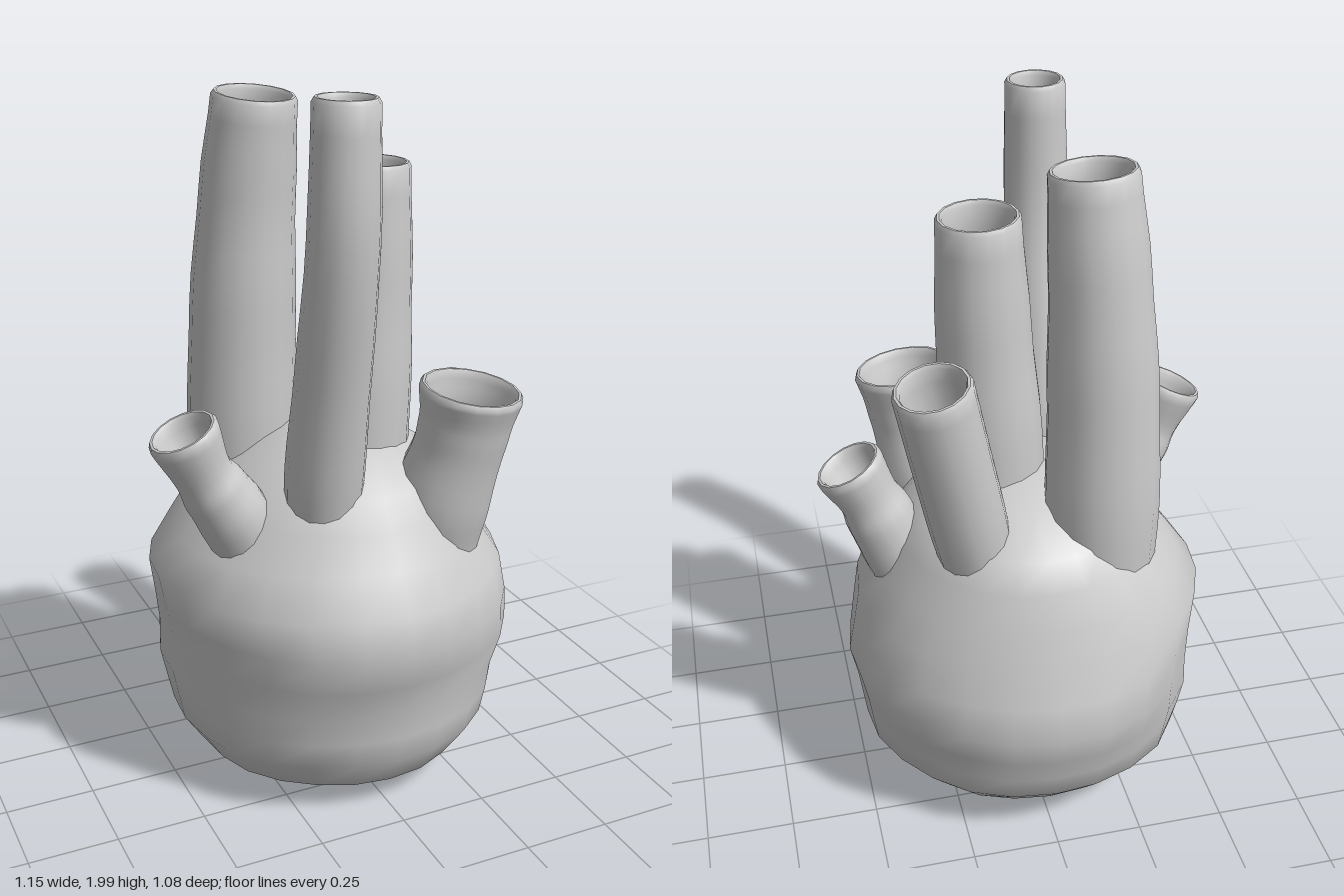
import * as THREE from 'three';
import { mergeVertices, toCreasedNormals } from 'three/addons/utils/BufferGeometryUtils.js';

const material = new THREE.MeshStandardMaterial({ color: 0xcccccc });

// Skin a list of closed rings (each an array of Vector3, listed bottom to top)
function loft(rings) {
  const n = rings[0].length;
  const index = [];
  for (let i = 0; i < rings.length - 1; i++) {
    for (let j = 0; j < n; j++) {
      const a = i * n + j, b = i * n + (j + 1) % n;
      index.push(a, a + n, b, b, a + n, b + n);
    }
  }
  const geometry = new THREE.BufferGeometry().setFromPoints(rings.flat());
  geometry.setIndex(index);
  return mergeVertices(geometry, 1e-4);
}

// Lumpy body: each section is [y, right, left, front, back] half-widths
function makeBody() {
  const sections = [
    [0.025, 0, 0, 0, 0],
    [0.01, 0.18, 0.18, 0.2, 0.17],
    [0.03, 0.31, 0.31, 0.32, 0.30],
    [0.09, 0.40, 0.40, 0.41, 0.39],
    [0.18, 0.48, 0.46, 0.46, 0.47],
    [0.26, 0.49, 0.475, 0.475, 0.49],
    [0.34, 0.50, 0.49, 0.475, 0.51],
    [0.44, 0.52, 0.485, 0.51, 0.54],
    [0.54, 0.50, 0.50, 0.54, 0.51],
    [0.65, 0.48, 0.52, 0.52, 0.47],
    [0.75, 0.42, 0.45, 0.45, 0.44],
    [0.85, 0.37, 0.38, 0.40, 0.40],
    [0.93, 0.31, 0.29, 0.35, 0.36],
    [1.0, 0.21, 0.19, 0.2, 0.22],
    [1.03, 0.1, 0.1, 0.1, 0.1],
    [1.04, 0, 0, 0, 0],
  ];
  const sides = 24;
  const rings = sections.map(([y, right, left, front, back]) => {
    const ring = [];
    for (let j = 0; j < sides; j++) {
      const t = (j / sides) * Math.PI * 2, c = Math.cos(t), s = Math.sin(t);
      // gentle irregularity, fuller at the back left corner
      const corner = Math.max(0, Math.cos(t - Math.PI * 1.25)) ** 6;
      const k = 1 + 0.05 * corner + 0.012 * Math.sin(5 * t + 9 * y) * Math.abs(Math.sin(2 * t));
      ring.push(new THREE.Vector3(c * k * (c > 0 ? right : left), y, s * k * (s > 0 ? front : back)));
    }
    return ring;
  });
  const geometry = loft(rings);
  geometry.computeVertexNormals();
  return geometry;
}

// Open hollow vessel: stations are [x, y, z, radius] from root to mouth
function makeVessel(stations, sides = 16) {
  const curve = new THREE.CatmullRomCurve3(stations.map(([x, y, z]) => new THREE.Vector3(x, y, z)));
  const up = new THREE.Vector3(0, 1, 0);
  const last = stations.length - 1;
  const ringAt = (t, inset, drop = 0) => {
    const i = Math.min(Math.floor(t * last), last - 1);
    const f = THREE.MathUtils.smoothstep(t * last - i, 0, 1);
    const r = THREE.MathUtils.lerp(stations[i][3], stations[i + 1][3], f) - inset;
    const tangent = curve.getTangent(t);
    const turn = new THREE.Quaternion().setFromUnitVectors(up, tangent);
    const centre = curve.getPoint(t).addScaledVector(tangent, -drop);
    return Array.from({ length: sides }, (_, j) => {
      const a = (j / sides) * Math.PI * 2;
      return new THREE.Vector3(Math.cos(a) * r, 0, Math.sin(a) * r).applyQuaternion(turn).add(centre);
    });
  };
  const steps = last * 4;
  const rings = [];
  // outer wall, rounded rim, then the inner wall back down
  for (let i = 0; i < steps; i++) rings.push(ringAt(i / steps, 0));
  rings.push(ringAt(1, 0, 0.012), ringAt(1, 0.007), ringAt(1, 0.014), ringAt(1, 0.02, 0.012));
  for (let i = steps - 1; i >= 0; i--) rings.push(ringAt(i / steps, 0.02));
  return toCreasedNormals(loft(rings), 0.9);
}

const vessels = {
  backLeftVessel: [
    [-0.19, 0.68, -0.19, 0.15], [-0.19, 1.0, -0.19, 0.16],
    [-0.185, 1.35, -0.18, 0.15], [-0.17, 1.68, -0.165, 0.133], [-0.155, 1.94, -0.138, 0.117]],
  centreVessel: [
    [0.06, 0.8, 0.035, 0.15], [0.075, 1.13, 0.035, 0.148],
    [0.09, 1.45, 0.035, 0.132], [0.1, 1.77, 0.035, 0.115]],
  tallFrontVessel: [
    [-0.125, 0.8, 0.22, 0.1], [-0.13, 1.0, 0.255, 0.108], [-0.135, 1.3, 0.32, 0.1],
    [-0.14, 1.65, 0.388, 0.092], [-0.136, 1.995, 0.392, 0.084]],
  backRightVessel: [
    [0.15, 0.78, -0.19, 0.1], [0.2, 1.03, -0.225, 0.108],
    [0.245, 1.25, -0.255, 0.107], [0.288, 1.465, -0.283, 0.106]],
  rightVessel: [
    [0.33, 0.68, 0.0, 0.09], [0.365, 0.8, 0.0, 0.1], [0.405, 0.91, 0.0, 0.098],
    [0.435, 0.98, 0.0, 0.086], [0.485, 1.085, 0.005, 0.1]],
  frontRightVessel: [
    [0.21, 0.68, 0.24, 0.12], [0.22, 0.86, 0.265, 0.138], [0.25, 1.02, 0.3, 0.125],
    [0.263, 1.1, 0.312, 0.128], [0.274, 1.195, 0.322, 0.143]],
  leftVessel: [
    [-0.3, 0.74, 0.14, 0.09], [-0.355, 0.87, 0.148, 0.1], [-0.405, 0.95, 0.153, 0.092],
    [-0.44, 1.01, 0.158, 0.08], [-0.495, 1.135, 0.163, 0.098]],
};

export function createModel() {
  const model = new THREE.Group();
  model.name = 'vesselCluster';
  const add = (name, geometry) => {
    const mesh = new THREE.Mesh(geometry, material);
    mesh.name = name;
    model.add(mesh);
  };
  add('body', makeBody());
  for (const [name, stations] of Object.entries(vessels)) add(name, makeVessel(stations));

  // stand the model on the ground
  model.position.y = -new THREE.Box3().setFromObject(model).min.y;
  return model;
}
